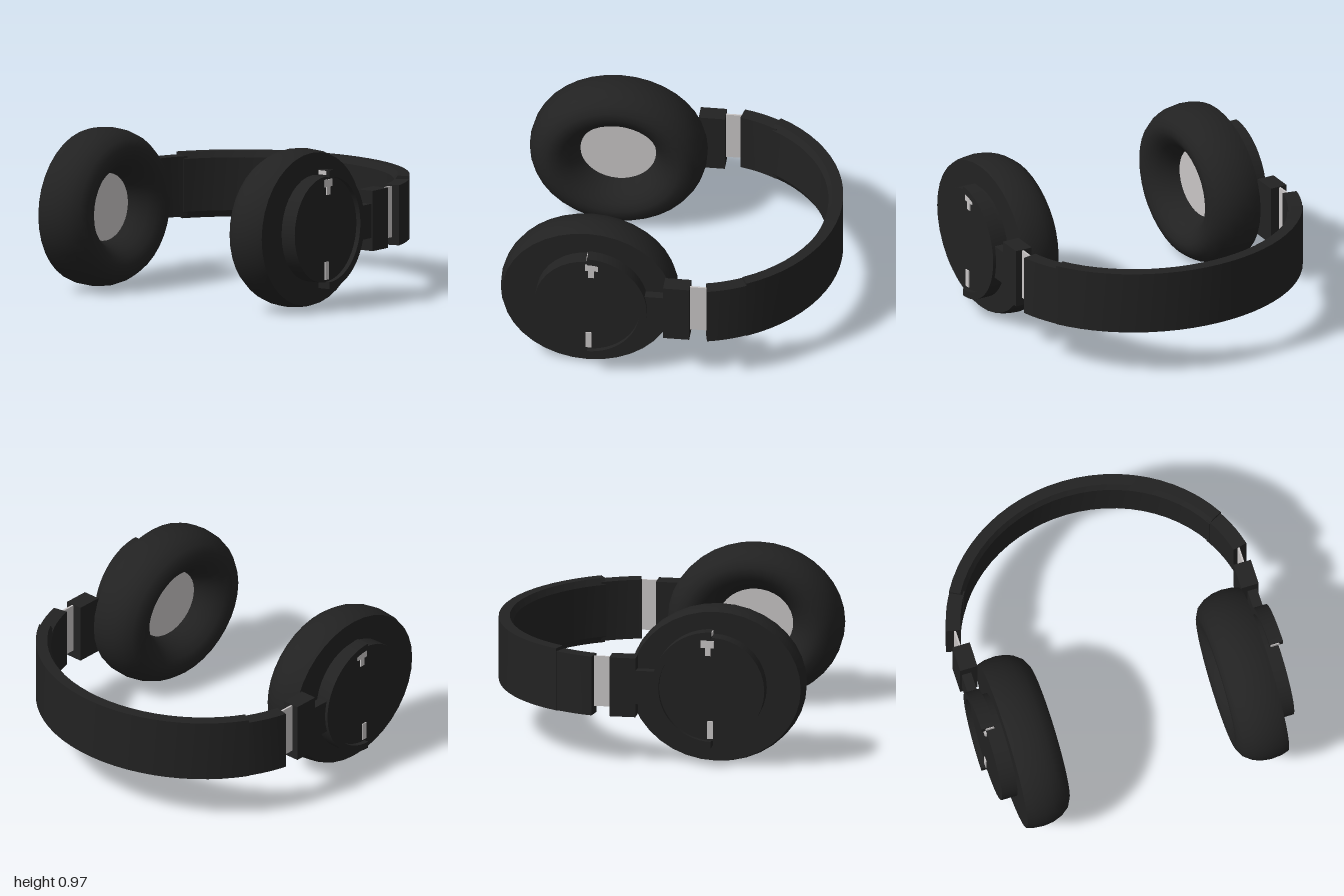
import * as THREE from 'three';
import { toCreasedNormals } from 'three/addons/utils/BufferGeometryUtils.js';

const black = new THREE.MeshStandardMaterial({ color: 0x222222 });
black.name = 'black plastic';
const silver = new THREE.MeshStandardMaterial({ color: 0xc8c5c5 });
silver.name = 'silver';

function add(parent, name, geometry, material, x = 0, y = 0, z = 0) {
  const mesh = new THREE.Mesh(geometry, material);
  mesh.name = name;
  mesh.position.set(x, y, z);
  parent.add(mesh);
  return mesh;
}

// Box given by its limits on each axis
function box(parent, name, material, [x0, x1], [y0, y1], [z0, z1]) {
  return add(parent, name, new THREE.BoxGeometry(x1 - x0, y1 - y0, z1 - z0), material,
    (x0 + x1) / 2, (y0 + y1) / 2, (z0 + z1) / 2);
}

// Sweeps a convex section of [depth 0 inner..1 outer, y] along the elliptical headband
function band(section, t0, t1, steps) {
  const pos = [], index = [], n = section.length;
  for (let i = 0; i <= steps; i++) {
    const t = t0 + (t1 - t0) * i / steps;
    for (const [u, y] of section) {
      pos.push((0.885 + 0.095 * u) * Math.cos(t), y, -0.1 - (0.81 + 0.09 * u) * Math.sin(t));
    }
  }
  for (let i = 0; i < steps; i++) {
    for (let j = 0; j < n; j++) {
      const a = i * n + j, b = i * n + (j + 1) % n;
      index.push(a, b + n, b, a, a + n, b + n);
    }
  }
  const e = steps * n;
  for (let j = 1; j < n - 1; j++) index.push(0, j, j + 1, e, e + j + 1, e + j);
  const g = new THREE.BufferGeometry();
  g.setAttribute('position', new THREE.Float32BufferAttribute(pos, 3));
  g.setIndex(index);
  return toCreasedNormals(g, 0.45);
}

function createEarpiece() {
  const side = new THREE.Group();

  // Oval cushion with a funnel-shaped opening: [radius, x]
  const profile = [[0.42, 0.71], [0.46, 0.65], [0.53, 0.59], [0.62, 0.55], [0.71, 0.532],
    [0.79, 0.535], [0.88, 0.56], [0.95, 0.61], [0.985, 0.66], [1, 0.72], [0.99, 0.79],
    [0.965, 0.832], [0, 0.832]].map(([r, x]) => new THREE.Vector2(r, x));
  const cushion = add(side, 'earCushion',
    toCreasedNormals(new THREE.LatheGeometry(profile, 36).rotateZ(-Math.PI / 2), 0.8),
    black, 0, 0.485, 0.455);
  cushion.scale.set(1, 0.485, 0.543);

  // Speaker cover inside the cushion
  const cover = add(side, 'speakerCover', new THREE.CircleGeometry(1, 36).rotateY(-Math.PI / 2),
    silver, 0.7, 0.485, 0.455);
  cover.scale.set(1, 0.215, 0.24);

  // Round outer housing
  add(side, 'housing', new THREE.CylinderGeometry(0.325, 0.325, 0.11, 36).rotateZ(-Math.PI / 2),
    black, 0.875, 0.49, 0.445);

  // C-shaped fork around the back half of the housing
  const fork = new THREE.Shape();
  fork.absarc(0, 0, 0.365, -Math.PI / 2, Math.PI / 2, false);
  fork.absarc(0, 0, 0.322, Math.PI / 2, -Math.PI / 2, true);
  const forkGeometry = new THREE.ExtrudeGeometry(fork,
    { depth: 0.085, bevelEnabled: false, curveSegments: 20 }).rotateY(Math.PI / 2);
  add(side, 'fork', toCreasedNormals(forkGeometry, 0.5), black, 0.875, 0.49, 0.445);

  // Silver pivot pins and fork tip
  box(side, 'upperPin', silver, [0.92, 0.936], [0.75, 0.795], [0.38, 0.46]);
  box(side, 'upperPinStem', silver, [0.92, 0.936], [0.7, 0.75], [0.405, 0.44]);
  box(side, 'lowerPin', silver, [0.92, 0.936], [0.18, 0.29], [0.42, 0.455]);
  box(side, 'forkTip', silver, [0.88, 0.935], [0.825, 0.85], [0.42, 0.45]);

  // Neck, hinge block and metal slider
  box(side, 'neck', black, [0.88, 0.94], [0.38, 0.59], [-0.03, 0.12]);
  box(side, 'hingeBlock', black, [0.84, 0.95], [0.3, 0.67], [-0.18, -0.02]);
  box(side, 'slider', silver, [0.897, 0.909], [0.35, 0.665], [-0.33, -0.15]);

  // Plain end of the headband
  const arm = [[0.03, 0.302], [0.98, 0.302], [0.98, 0.672], [0.03, 0.672]];
  add(side, 'headbandEnd', band(arm, 0.213, 0.52, 5), black);
  return side;
}

export function createModel() {
  const model = new THREE.Group();
  model.name = 'headphones';

  // Padded middle of the headband
  const pad = [[0, 0.33], [0.25, 0.288], [1, 0.3], [1, 0.69], [0.25, 0.693], [0, 0.655]];
  add(model, 'headbandPad', band(pad, 0.487, Math.PI - 0.487, 24), black);

  const left = createEarpiece();
  left.name = 'leftEarpiece';
  const right = createEarpiece();
  right.name = 'rightEarpiece';
  right.scale.x = -1;
  model.add(left, right);
  return model;
}
